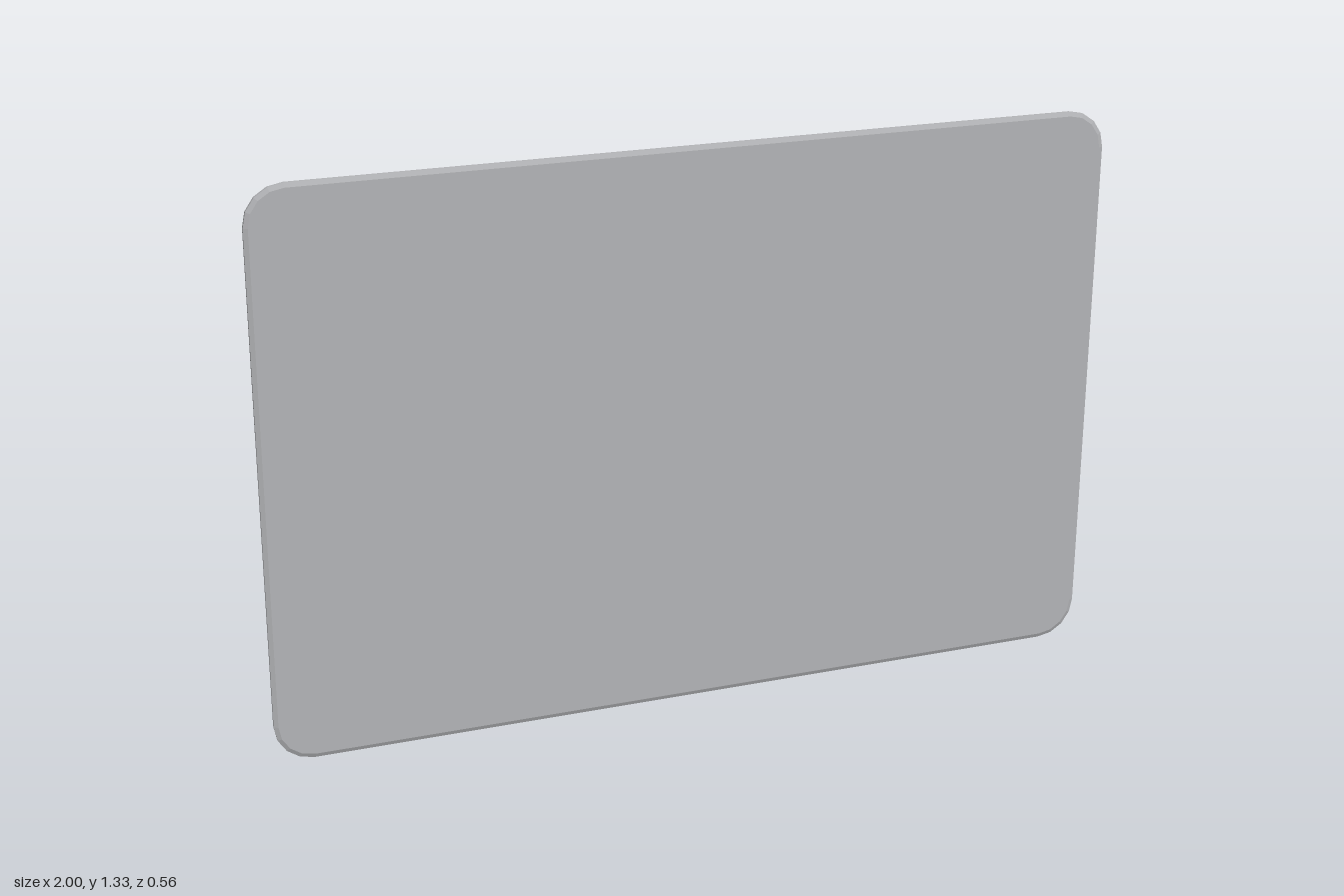
import * as THREE from 'three';

const CORNER_STEPS = 4;

// Rounded rectangle cross-section, anticlockwise as seen from +z
function ring([hx, hy, r, z], cy) {
  const pts = [];
  for (let q = 0; q < 4; q++) {
    const sx = q === 0 || q === 3 ? 1 : -1;
    const sy = q < 2 ? 1 : -1;
    for (let i = 0; i <= CORNER_STEPS; i++) {
      const a = (q + i / CORNER_STEPS) * Math.PI / 2;
      pts.push([sx * (hx - r) + r * Math.cos(a), cy + sy * (hy - r) + r * Math.sin(a), z]);
    }
  }
  return pts;
}

// Closed skin over cross-sections running from front to back
function loft(name, sections, cy, material) {
  const rings = sections.map((s) => ring(s, cy));
  const n = rings[0].length, last = rings.length - 1;
  const out = [];
  const tri = (a, b, c) => out.push(...a, ...b, ...c);
  const front = [0, cy, sections[0][3]];
  const back = [0, cy, sections[last][3]];
  for (let i = 0; i < n; i++) {
    const j = (i + 1) % n;
    tri(front, rings[0][i], rings[0][j]);
    for (let k = 0; k < last; k++) {
      const a = rings[k], b = rings[k + 1];
      tri(a[i], b[i], a[j]);
      tri(a[j], b[i], b[j]);
    }
    tri(back, rings[last][j], rings[last][i]);
  }
  const geo = new THREE.BufferGeometry();
  geo.setAttribute('position', new THREE.Float32BufferAttribute(out, 3));
  geo.computeVertexNormals();
  const mesh = new THREE.Mesh(geo, material);
  mesh.name = name;
  return mesh;
}

export function createModel() {
  const model = new THREE.Group();
  model.name = 'sinkBasin';
  const steel = new THREE.MeshStandardMaterial({ color: 0xb4b5b8, flatShading: true });
  steel.name = 'brushed steel';

  // Thin rim plate: half width, half height, corner radius, z
  model.add(loft('rimPlate', [
    [0.99, 0.657, 0.08, 0.277],
    [1.0, 0.667, 0.09, 0.273],
    [1.0, 0.667, 0.09, 0.266],
    [0.965, 0.632, 0.06, 0.264],
  ], 0.667, steel));

  // Tapered basin with rounded lower edge and gently sloping floor
  model.add(loft('basin', [
    [0.89, 0.487, 0.195, 0.265],
    [0.884, 0.483, 0.19, 0.25],
    [0.86, 0.457, 0.17, -0.13],
    [0.842, 0.438, 0.15, -0.19],
    [0.8, 0.4, 0.11, -0.225],
    [0.73, 0.335, 0.05, -0.243],
    [0.14, 0.14, 0.139, -0.263],
  ], 0.587, steel));

  // Low drain boss in the middle of the floor
  model.add(loft('drain', [
    [0.14, 0.14, 0.139, -0.255],
    [0.135, 0.135, 0.134, -0.27],
    [0.1, 0.1, 0.099, -0.278],
  ], 0.575, steel));

  return model;
}
